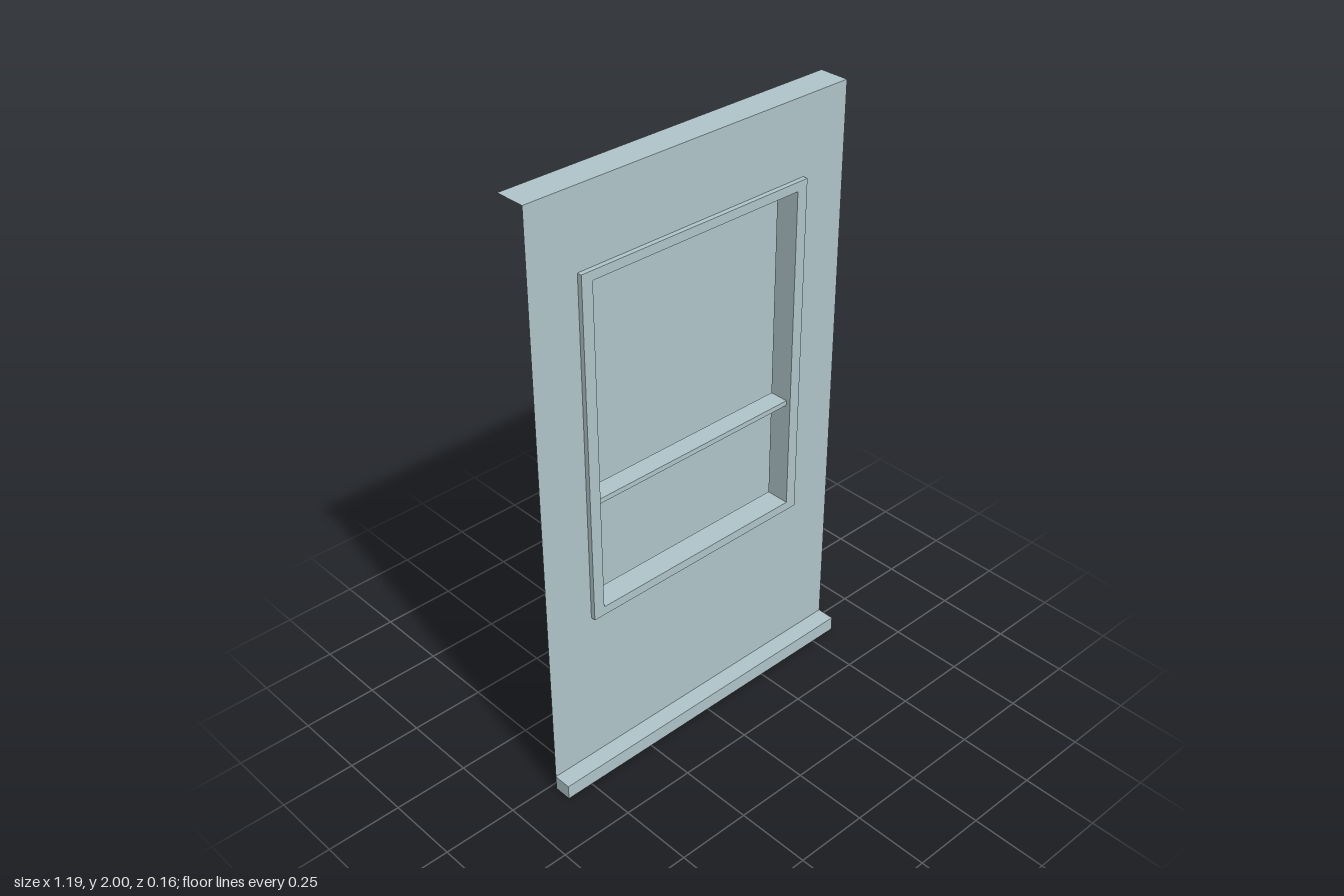
import * as THREE from 'three';

export function createModel() {
  const model = new THREE.Group();
  model.name = 'windowWallPanel';
  const paint = new THREE.MeshStandardMaterial({ color: 0xb0c4ca, side: THREE.DoubleSide });
  paint.name = 'pale blue grey';

  const HALF = 0.593, WALL_Z = 0.02, FRONT_Z = 0.036, JAMB_Z = -0.045;
  const outer = { x: 0.426, y0: 0.59, y1: 1.75 };   // frame outline
  const inner = { x: 0.388, y0: 0.62, y1: 1.72 };   // window opening

  const add = (name, geometry, x = 0, y = 0, z = 0, parent = model) => {
    const mesh = new THREE.Mesh(geometry, paint);
    mesh.name = name;
    mesh.position.set(x, y, z);
    parent.add(mesh);
    return mesh;
  };

  // Rectangle path, usable as an outline or a hole
  const rect = (PathType, { x, y0, y1 }) => new PathType([
    [-x, y0], [x, y0], [x, y1], [-x, y1],
  ].map(([px, py]) => new THREE.Vector2(px, py)));

  const ring = (outline, hole) => {
    const shape = rect(THREE.Shape, outline);
    shape.holes.push(rect(THREE.Path, hole));
    return new THREE.ShapeGeometry(shape);
  };

  // Horizontal and vertical thin sheets spanning a depth range
  const shelf = (name, halfWidth, y, z0, z1, parent) => {
    const g = new THREE.PlaneGeometry(2 * halfWidth, z1 - z0).rotateX(-Math.PI / 2);
    return add(name, g, 0, y, (z0 + z1) / 2, parent);
  };
  const cheek = (name, side, x, y0, y1, z0, z1, parent) => {
    const g = new THREE.PlaneGeometry(z1 - z0, y1 - y0).rotateY(side * Math.PI / 2);
    return add(name, g, side * x, (y0 + y1) / 2, (z0 + z1) / 2, parent);
  };
  // Four sheets forming an open rectangular sleeve
  const sleeve = (name, { x, y0, y1 }, z0, z1, parent) => {
    shelf(name + 'Top', x, y1, z0, z1, parent);
    shelf(name + 'Bottom', x, y0, z0, z1, parent);
    for (const side of [-1, 1]) {
      cheek(name + (side > 0 ? 'Left' : 'Right'), side, x, y0, y1, z0, z1, parent);
    }
  };

  // Wall sheet, cut out behind the window frame, with a flange at the top
  add('wall', ring({ x: HALF, y0: 0.05, y1: 2 }, outer), 0, 0, WALL_Z);
  shelf('topFlange', HALF, 2, -0.08, WALL_Z);

  // Bottom sill: a capped channel, open at the back
  const sill = new THREE.Group();
  sill.name = 'sill';
  model.add(sill);
  sleeve('sill', { x: HALF, y0: 0, y1: 0.05 }, WALL_Z, 0.08, sill);
  add('sillFront', new THREE.PlaneGeometry(2 * HALF, 0.05), 0, 0.025, 0.08, sill);

  // Raised window frame and the recess behind it
  const frame = new THREE.Group();
  frame.name = 'windowFrame';
  model.add(frame);
  add('frameFace', ring(outer, inner), 0, 0, FRONT_Z, frame);
  sleeve('frameEdge', outer, WALL_Z, FRONT_Z, frame);
  sleeve('jamb', inner, JAMB_Z, FRONT_Z, frame);

  // Cross rail
  add('crossRail', new THREE.BoxGeometry(2 * inner.x, 0.017, WALL_Z - JAMB_Z),
    0, 0.992, (WALL_Z + JAMB_Z) / 2, frame);

  // Backing sheet behind the opening
  add('backingSheet', new THREE.PlaneGeometry(0.98, 1.4), 0, 1.16, -0.078);

  return model;
}
